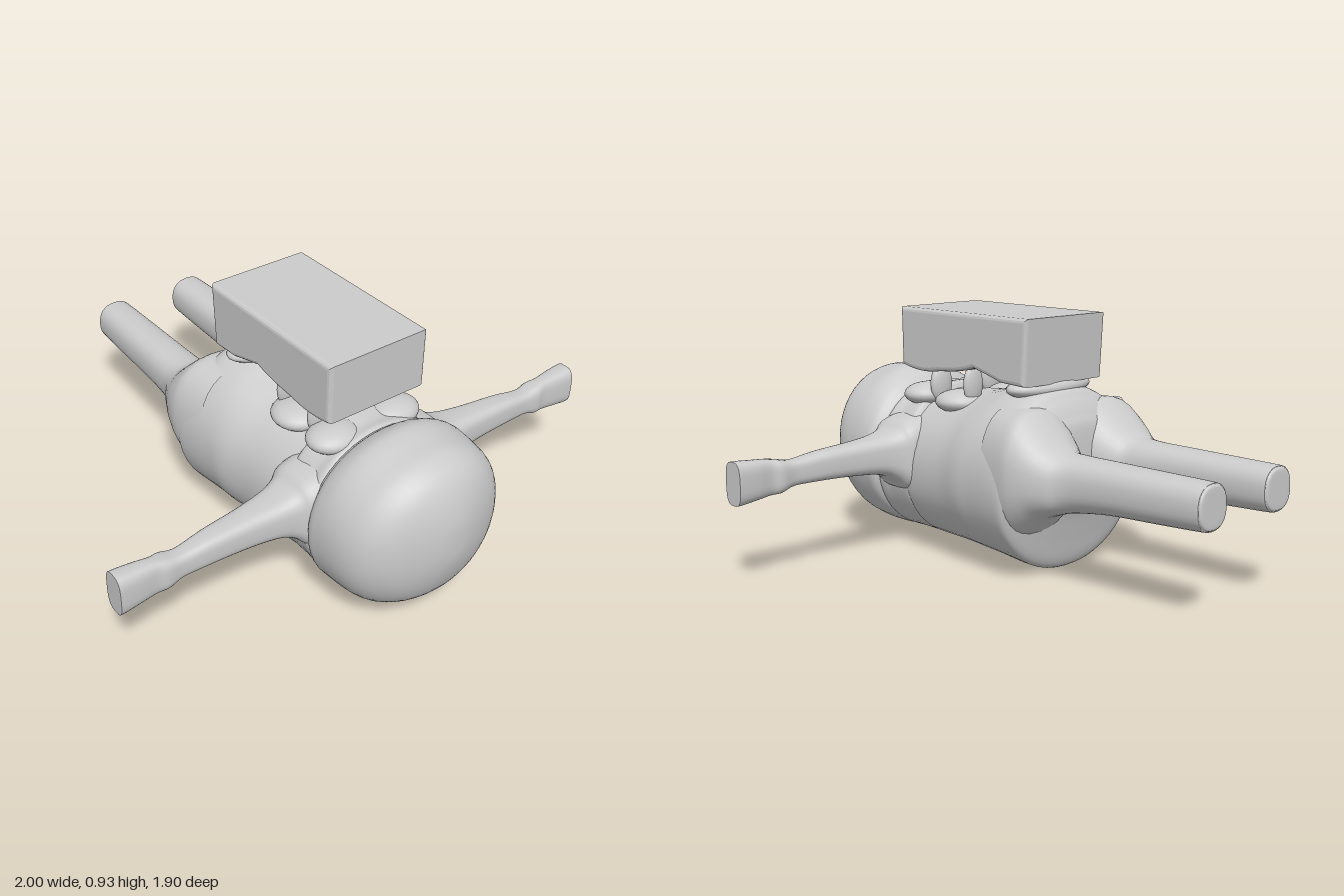
import * as THREE from 'three';

const material = new THREE.MeshStandardMaterial({ color: 0xcccccc, side: THREE.DoubleSide });

// Smooth interpolation between stations, clamped so it never overshoots
function refine(rows, steps) {
  const out = [];
  for (let i = 0; i < rows.length - 1; i++) {
    const p0 = rows[Math.max(i - 1, 0)], p1 = rows[i], p2 = rows[i + 1], p3 = rows[Math.min(i + 2, rows.length - 1)];
    for (let s = 0; s < steps; s++) {
      const t = s / steps;
      out.push(p1.map((b, k) => {
        const a = p0[k], c = p2[k], d = p3[k];
        const v = 0.5 * (2 * b + (c - a) * t + (2 * a - 5 * b + 4 * c - d) * t * t + (3 * b - a - 3 * c + d) * t * t * t);
        return THREE.MathUtils.clamp(v, Math.min(b, c), Math.max(b, c));
      }));
    }
  }
  out.push(rows[rows.length - 1]);
  return out;
}

// Loft towards -z. Station: [z, centre x, half width, bottom y, top y]; n sets how square the section is
function loft(name, stations, n = 2, sides = 48, steps = 4) {
  const rows = refine(stations, steps);
  const pos = [], idx = [];
  const power = (v) => Math.sign(v) * Math.pow(Math.abs(v), 2 / n);
  rows.forEach(([z, cx, r, lo, hi]) => {
    for (let j = 0; j < sides; j++) {
      const a = (j / sides) * Math.PI * 2;
      pos.push(cx + r * power(Math.cos(a)), (lo + hi) / 2 + ((hi - lo) / 2) * power(Math.sin(a)), z);
    }
  });
  for (let i = 0; i < rows.length - 1; i++) {
    for (let j = 0; j < sides; j++) {
      const k = (j + 1) % sides;
      const a = i * sides + j, b = a + sides, c = (i + 1) * sides + k, d = i * sides + k;
      idx.push(a, b, d, b, c, d);
    }
  }
  const g = new THREE.BufferGeometry();
  g.setAttribute('position', new THREE.Float32BufferAttribute(pos, 3));
  g.setIndex(idx);
  g.computeVertexNormals();
  const mesh = new THREE.Mesh(g, material);
  mesh.name = name;
  return mesh;
}

function blob(name, x, y, z, sx, sy, sz) {
  const mesh = new THREE.Mesh(new THREE.SphereGeometry(1, 24, 16), material);
  mesh.position.set(x, y, z);
  mesh.scale.set(sx, sy, sz);
  mesh.name = name;
  return mesh;
}

export function createModel() {
  const model = new THREE.Group();
  model.name = 'lyingFigure';

  // Rounded head
  model.add(loft('head', [
    [0.95, 0, 0, 0.4, 0.4],
    [0.945, 0, 0.06, 0.32, 0.48],
    [0.92, 0, 0.15, 0.23, 0.57],
    [0.88, 0, 0.235, 0.15, 0.635],
    [0.82, 0, 0.295, 0.09, 0.67],
    [0.75, 0, 0.322, 0.055, 0.68],
    [0.66, 0, 0.33, 0.04, 0.69],
    [0.6, 0, 0.33, 0.04, 0.665],
    [0.565, 0, 0.31, 0.045, 0.635],
    [0.55, 0, 0.27, 0.08, 0.6],
    [0.54, 0, 0, 0.35, 0.35],
  ], 2.1));

  // Torso with collar ridge, jacket seam and wide hips
  model.add(loft('torso', [
    [0.6, 0, 0.22, 0.1, 0.57],
    [0.57, 0, 0.295, 0.045, 0.61],
    [0.545, 0, 0.31, 0.04, 0.635],
    [0.5, 0, 0.305, 0.04, 0.63],
    [0.42, 0, 0.305, 0.038, 0.64],
    [0.4, 0, 0.3, 0.043, 0.615],
    [0.38, 0, 0.305, 0.037, 0.615],
    [0.2, 0, 0.32, 0.032, 0.63],
    [0.08, 0, 0.345, 0.027, 0.655],
    [0, 0, 0.35, 0.02, 0.675],
    [-0.1, 0, 0.358, 0.01, 0.68],
    [-0.15, 0, 0.36, 0.008, 0.665],
    [-0.175, 0, 0.355, 0.04, 0.64],
    [-0.195, 0, 0.34, 0.12, 0.615],
    [-0.215, 0, 0.3, 0.2, 0.58],
    [-0.235, 0, 0.2, 0.27, 0.53],
    [-0.245, 0, 0, 0.39, 0.39],
  ], 2.1));

  for (const side of [-1, 1]) {
    const label = side > 0 ? 'left' : 'right';

    // Legs flare smoothly out of the hips
    model.add(loft(label + 'Leg', [
      [-0.05, 0.17, 0.17, 0.1, 0.62],
      [-0.17, 0.182, 0.178, 0.16, 0.62],
      [-0.22, 0.19, 0.168, 0.2, 0.59],
      [-0.27, 0.195, 0.147, 0.245, 0.545],
      [-0.33, 0.197, 0.115, 0.27, 0.495],
      [-0.4, 0.184, 0.092, 0.287, 0.485],
      [-0.55, 0.181, 0.084, 0.305, 0.483],
      [-0.75, 0.179, 0.08, 0.313, 0.481],
      [-0.925, 0.177, 0.075, 0.32, 0.479],
      [-0.942, 0.177, 0.07, 0.325, 0.474],
      [-0.95, 0.177, 0.058, 0.337, 0.462],
      [-0.95, 0.177, 0, 0.4, 0.4],
    ].map(([z, x, ...rest]) => [z, x * side, ...rest]), 2.4, 32));

    // Arms stretched sideways, with a wrist and a blocky hand
    const arm = loft(label + 'Arm', [
      [0.2, 0.465, 0.13, 0.22, 0.54],
      [0.29, 0.465, 0.12, 0.25, 0.515],
      [0.33, 0.465, 0.095, 0.285, 0.485],
      [0.39, 0.468, 0.077, 0.317, 0.465],
      [0.5, 0.47, 0.06, 0.33, 0.453],
      [0.65, 0.473, 0.048, 0.336, 0.442],
      [0.76, 0.476, 0.038, 0.335, 0.428],
      [0.82, 0.475, 0.044, 0.318, 0.438],
      [0.86, 0.477, 0.035, 0.315, 0.445],
      [0.92, 0.475, 0.041, 0.308, 0.45],
      [0.99, 0.475, 0.045, 0.3, 0.455],
      [1, 0.475, 0.042, 0.304, 0.45],
      [1, 0.475, 0, 0.378, 0.378],
    ].map(([d, x, ...rest]) => [-d, x * side, ...rest]), 3.2, 32);
    arm.rotation.y = -side * Math.PI / 2;
    model.add(arm);
  }

  // Box pack, drawn from the side with a hollowed underside
  const profile = new THREE.Shape();
  profile.moveTo(-0.135, 0.915);
  profile.lineTo(0.515, 0.918);
  profile.lineTo(0.512, 0.725);
  profile.quadraticCurveTo(0.42, 0.7, 0.32, 0.72);
  profile.quadraticCurveTo(0.2, 0.725, 0.13, 0.75);
  profile.quadraticCurveTo(0.05, 0.73, -0.02, 0.71);
  profile.lineTo(-0.12, 0.705);
  profile.closePath();
  const bevel = 0.016, width = 0.41;
  const packGeo = new THREE.ExtrudeGeometry(profile, {
    depth: width - 2 * bevel, bevelThickness: bevel, bevelSize: bevel, bevelSegments: 3, curveSegments: 8,
  });
  packGeo.translate(0, 0, -(width / 2 - bevel));
  const pack = new THREE.Mesh(packGeo, material);
  pack.name = 'backpack';
  pack.rotation.y = -Math.PI / 2;
  model.add(pack);

  // Webbing that joins the pack to the back
  model.add(blob('rearPad', 0, 0.67, -0.06, 0.2, 0.045, 0.09));
  for (const x of [-0.13, 0.13]) {
    model.add(blob('middleStrap', x, 0.66, 0.205, 0.045, 0.075, 0.022));
    model.add(blob('frontStrap', x, 0.645, 0.385, 0.05, 0.075, 0.025));
    model.add(blob('shoulderPad', x, 0.6, 0.46, 0.1, 0.045, 0.085));
    model.add(blob('backPad', x, 0.59, 0.27, 0.1, 0.045, 0.1));
  }
  return model;
}
